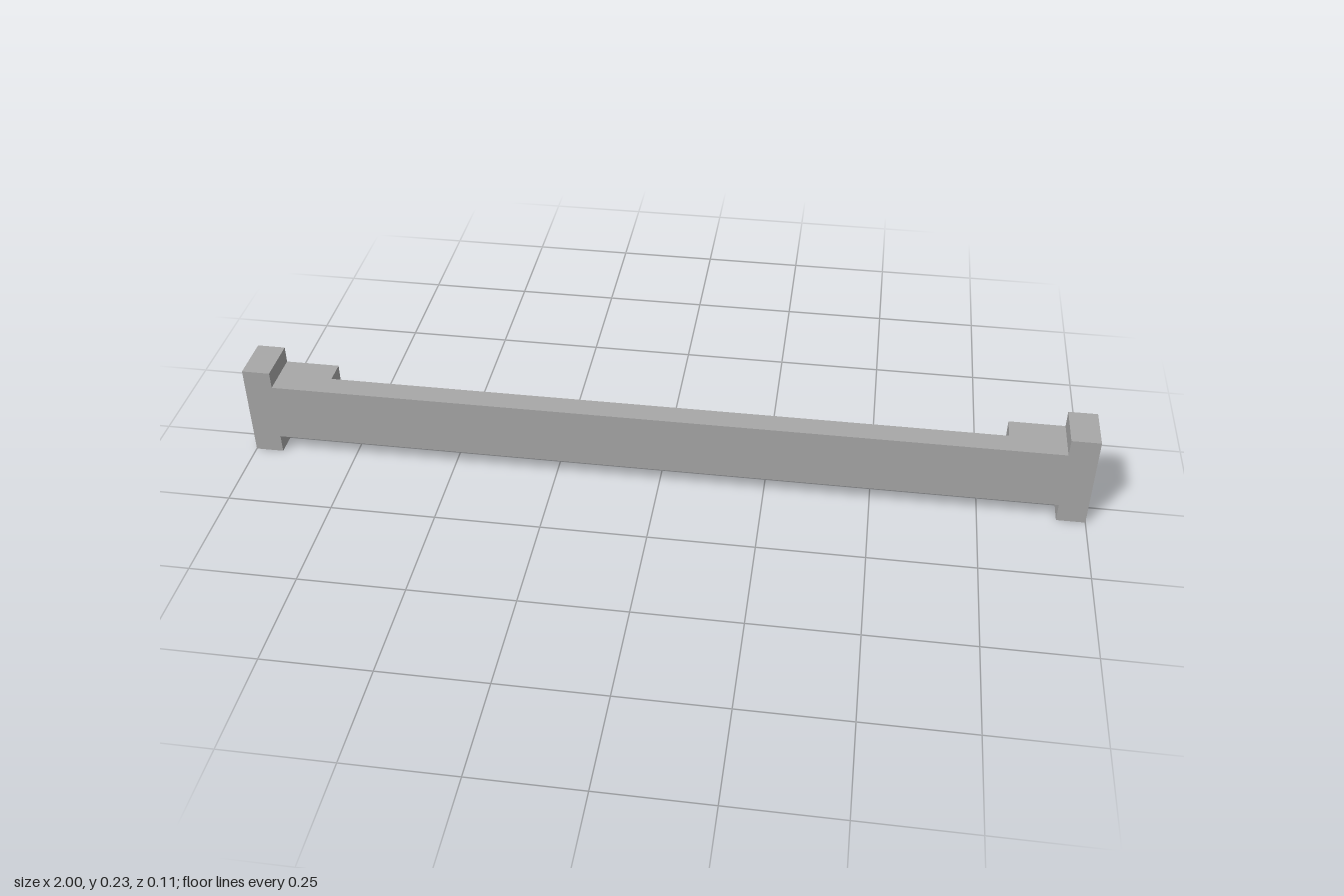
import * as THREE from 'three';

export function createModel() {
  const model = new THREE.Group();
  model.name = 'beam';
  const grey = new THREE.MeshStandardMaterial({ color: 0xa8a8a8 });
  grey.name = 'grey';

  const depth = 0.056;   // half depth of the ends
  const flangeX = 0.933; // inner face of the end flanges
  const blockX = 0.803;  // inner face of the thick end blocks
  const bottom = 0.045, top = 0.19, height = 0.231;

  // Thin rail with thicker blocks behind both ends: plan outline (x, -z) extruded upward
  const plan = new THREE.Shape([
    [-flangeX, -depth], [flangeX, -depth], [flangeX, depth], [blockX, depth],
    [blockX, 0], [-blockX, 0], [-blockX, depth], [-flangeX, depth],
  ].map(([x, y]) => new THREE.Vector2(x, y)));
  const railGeometry = new THREE.ExtrudeGeometry(plan, { depth: top - bottom, bevelEnabled: false });
  railGeometry.rotateX(-Math.PI / 2);
  const rail = new THREE.Mesh(railGeometry, grey);
  rail.name = 'rail';
  rail.position.y = bottom;
  model.add(rail);

  // Taller flanges capping the two ends
  for (const side of [-1, 1]) {
    const flange = new THREE.Mesh(new THREE.BoxGeometry(1 - flangeX, height, depth * 2), grey);
    flange.name = side > 0 ? 'leftFlange' : 'rightFlange';
    flange.position.set(side * (1 + flangeX) / 2, height / 2, 0);
    model.add(flange);
  }

  return model;
}
